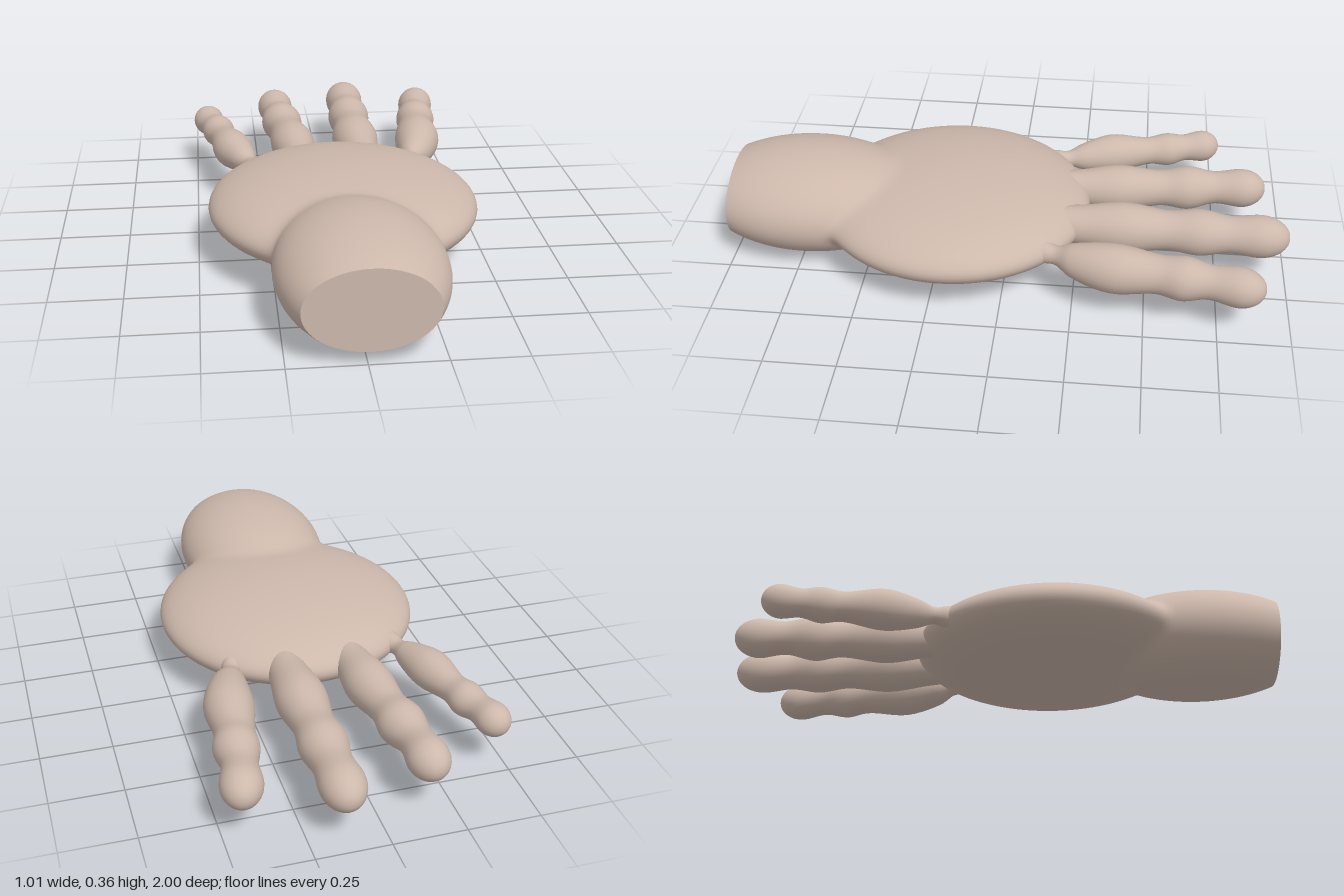
import * as THREE from 'three';

const CX = 0.01, CY = 0.183;
const palm = { rx: 0.47, ry: 0.136, rz: 0.49, z: 0.2 };
const wrist = { rx: 0.28, ry: 0.182, rz: 0.415, z: 0.73 };
const START = palm.z - palm.rz, END = 1;

// Skins a row of closed rings; point(i, t) gives the vertex of ring i at angle t
function loft(rings, sides, point) {
  const pos = [], index = [];
  for (let i = 0; i <= rings; i++) {
    for (let j = 0; j < sides; j++) pos.push(...point(i, (j / sides) * Math.PI * 2));
  }
  for (let i = 0; i < rings; i++) {
    for (let j = 0; j < sides; j++) {
      const a = i * sides + j, b = i * sides + ((j + 1) % sides);
      const c = a + sides, d = b + sides;
      index.push(a, b, c, b, d, c);
    }
  }
  const geo = new THREE.BufferGeometry();
  geo.setAttribute('position', new THREE.Float32BufferAttribute(pos, 3));
  geo.setIndex(index);
  geo.computeVertexNormals();
  return geo;
}

// Radius of an ellipsoid's slice at height z, in direction a
function sliceRadius(e, z, a) {
  const k = Math.sqrt(Math.max(0, 1 - ((z - e.z) / e.rz) ** 2));
  return k / Math.hypot(Math.cos(a) / e.rx, Math.sin(a) / e.ry);
}

// Palm and wrist ellipsoids softly merged into one skin
function palmAndWrist() {
  const rings = 110;
  return loft(rings, 80, (i, t) => {
    const z = START + (END - START) * (1 - Math.cos((i / rings) * Math.PI / 2));
    const a = Math.atan2(0.15 * Math.sin(t), 0.4 * Math.cos(t));
    const r = (sliceRadius(palm, z, a) ** 16 + sliceRadius(wrist, z, a) ** 16) ** (1 / 16);
    return [CX + r * Math.cos(a), CY + r * Math.sin(a), z];
  });
}

// Finger through [x, z, radius] stations from the tip joint to the palm
function finger(tipZ, stations) {
  const [x0, , r0] = stations[0];
  const last = stations[stations.length - 1];
  const axis = new THREE.Vector2(last[0] - x0, last[1] - tipZ).normalize();
  const slope = axis.x / axis.y;
  const depth = stations[0][1] - tipZ;
  // rounded fingertip
  const tip = [0, 0.03, 0.12, 0.3, 0.6].map((f) => {
    const z = tipZ + depth * f;
    return [x0 - slope * depth * (1 - f), z, r0 * Math.sqrt(1 - (1 - f) ** 2)];
  });
  const curve = new THREE.CatmullRomCurve3(
    [...tip, ...stations].map(([x, z, r]) => new THREE.Vector3(x, r, z)));
  const rings = 72;
  const samples = curve.getPoints(rings);
  return loft(rings, 28, (i, t) => {
    const { x, y: r, z } = samples[i];
    const side = r * Math.cos(t);
    return [x + side * axis.y, CY + 0.003 + r * Math.sin(t), z - side * axis.x];
  });
}

const FINGERS = {
  littleFinger: [-0.765, [[-0.447, -0.7, 0.059], [-0.43, -0.635, 0.05], [-0.41, -0.57, 0.062],
    [-0.393, -0.5, 0.052], [-0.36, -0.36, 0.072], [-0.322, -0.25, 0.05], [-0.303, -0.195, 0.03],
    [-0.285, -0.15, 0.04], [-0.26, -0.08, 0.04]]],
  ringFinger: [-0.93, [[-0.166, -0.84, 0.071], [-0.162, -0.745, 0.06], [-0.15, -0.645, 0.08],
    [-0.14, -0.55, 0.066], [-0.123, -0.39, 0.084], [-0.112, -0.25, 0.066], [-0.1, -0.12, 0.06]]],
  middleFinger: [-1, [[0.134, -0.895, 0.076], [0.132, -0.79, 0.067], [0.13, -0.685, 0.083],
    [0.128, -0.575, 0.071], [0.126, -0.42, 0.089], [0.125, -0.26, 0.07], [0.123, -0.12, 0.06]]],
  indexFinger: [-0.9, [[0.43, -0.81, 0.07], [0.412, -0.715, 0.06], [0.402, -0.63, 0.077],
    [0.387, -0.545, 0.068], [0.37, -0.39, 0.086], [0.338, -0.25, 0.06], [0.315, -0.19, 0.034],
    [0.295, -0.14, 0.042], [0.27, -0.08, 0.04]]],
};

export function createModel() {
  const hand = new THREE.Group();
  hand.name = 'hand';
  const skin = new THREE.MeshStandardMaterial({ color: 0xcdb8ab });
  skin.name = 'skin';

  const add = (name, geo) => {
    const mesh = new THREE.Mesh(geo, skin);
    mesh.name = name;
    hand.add(mesh);
    return mesh;
  };

  add('palmAndWrist', palmAndWrist());

  // flat end of the wrist
  const cap = add('wristEnd', new THREE.CircleGeometry(1, 80));
  cap.scale.set(sliceRadius(wrist, END, 0), sliceRadius(wrist, END, Math.PI / 2), 1);
  cap.position.set(CX, CY, END);

  for (const [name, [tipZ, stations]] of Object.entries(FINGERS)) add(name, finger(tipZ, stations));
  return hand;
}
